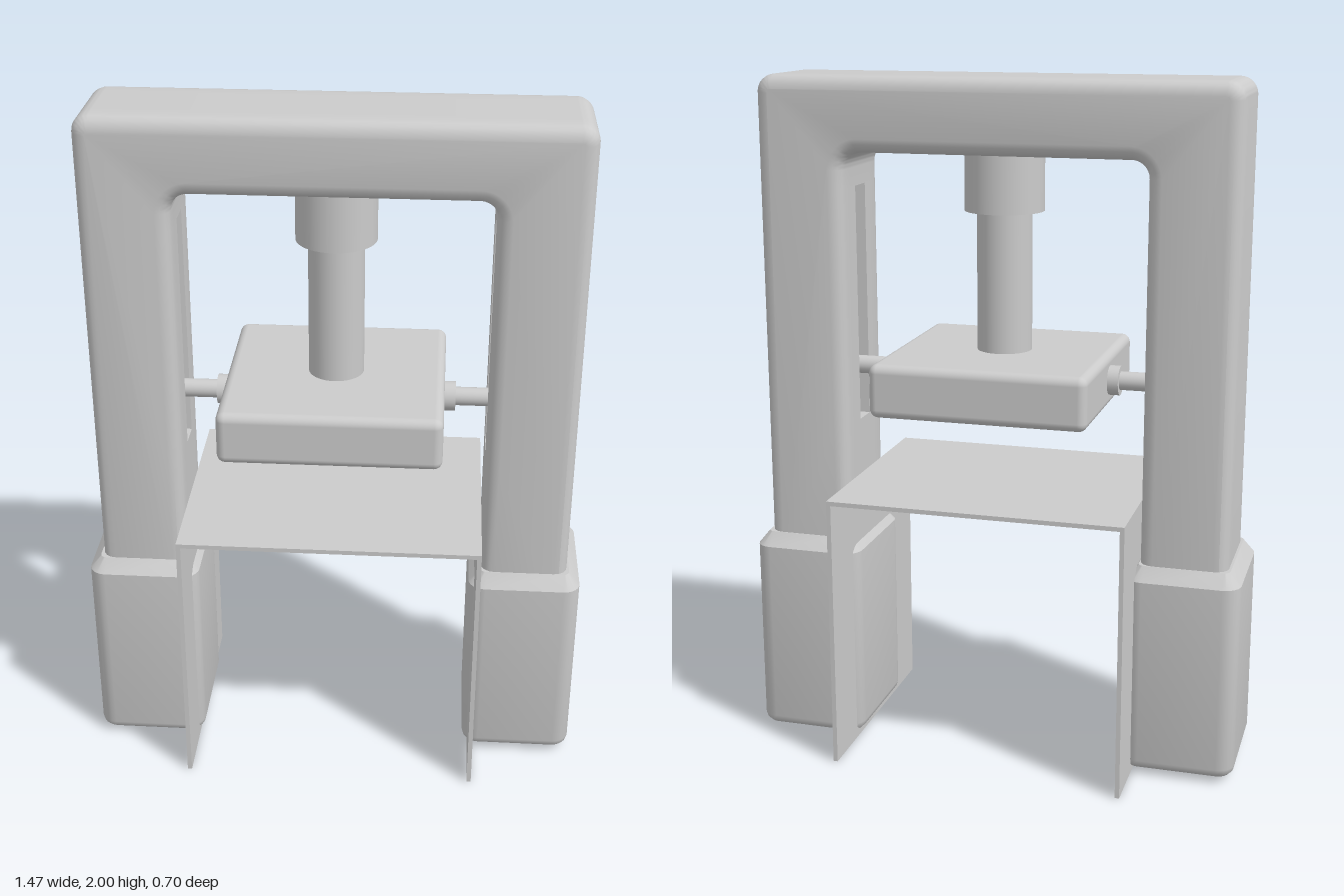
import * as THREE from 'three';
import { toCreasedNormals } from 'three/addons/utils/BufferGeometryUtils.js';
import { RoundedBoxGeometry } from 'three/addons/geometries/RoundedBoxGeometry.js';

const grey = new THREE.MeshStandardMaterial({ color: 0xcccccc });

const SLOT = { x: 0.44, bottom: 0.98, top: 1.68, half: 0.04, depth: 0.06 };

function part(parent, name, geometry, x = 0, y = 0, z = 0) {
  const mesh = new THREE.Mesh(geometry, grey);
  mesh.name = name;
  mesh.position.set(x, y, z);
  parent.add(mesh);
  return mesh;
}

// Arch outline with bevelled edges; the slot mouths are left open in the inner faces.
function archGeometry() {
  const out = 0.695, inn = SLOT.x, top = 2, under = 1.785, r = 0.05, foot = 0.5, bevel = 0.04;
  const s = new THREE.Shape();
  s.moveTo(inn, foot);
  s.lineTo(out, foot);
  s.lineTo(out, top - r);
  s.absarc(out - r, top - r, r, 0, Math.PI / 2);
  s.lineTo(-out + r, top);
  s.absarc(-out + r, top - r, r, Math.PI / 2, Math.PI);
  s.lineTo(-out, foot);
  s.lineTo(-inn, foot);
  s.lineTo(-inn, SLOT.bottom);
  s.lineTo(-inn, SLOT.top);
  s.lineTo(-inn, under - r);
  s.absarc(-inn + r, under - r, r, Math.PI, Math.PI / 2, true);
  s.lineTo(inn - r, under);
  s.absarc(inn - r, under - r, r, Math.PI / 2, 0, true);
  s.lineTo(inn, SLOT.top);
  s.lineTo(inn, SLOT.bottom);
  const g = new THREE.ExtrudeGeometry(s, {
    depth: 0.24, steps: 6, curveSegments: 6,
    bevelThickness: bevel, bevelSize: bevel, bevelOffset: -bevel, bevelSegments: 4,
  });
  g.translate(0, 0, -0.12);
  const p = g.attributes.position, keep = [];
  for (let i = 0; i < p.count; i += 3) {
    const c = [0, 1, 2].map((k) => (p.getComponent(i, k) + p.getComponent(i + 1, k) + p.getComponent(i + 2, k)) / 3);
    const inSlot = Math.abs(Math.abs(c[0]) - inn) < 0.001 && Math.abs(c[2]) < SLOT.half
      && c[1] > SLOT.bottom && c[1] < SLOT.top;
    if (inSlot) continue;
    for (let j = i; j < i + 3; j++) keep.push(p.getX(j), p.getY(j), p.getZ(j));
  }
  const result = new THREE.BufferGeometry();
  result.setAttribute('position', new THREE.Float32BufferAttribute(keep, 3));
  return toCreasedNormals(result, 0.6);
}

// Box turned inside out, so that its walls line a recess.
function recessGeometry() {
  const g = new THREE.BoxGeometry(SLOT.depth, SLOT.top - SLOT.bottom, SLOT.half * 2);
  g.scale(-1, 1, 1);
  g.computeVertexNormals();
  return g;
}

// Rounded rectangle rings stacked upwards: each level is [height, inset].
function bootGeometry(halfX, halfZ, radius, levels) {
  const pos = [], index = [], seg = 6, n = 4 * (seg + 1);
  for (const [y, inset] of levels) {
    const r = Math.max(radius - inset, 0.02);
    for (let q = 0; q < 4; q++) {
      const sx = q === 0 || q === 3 ? 1 : -1, sz = q < 2 ? 1 : -1;
      for (let i = 0; i <= seg; i++) {
        const a = (q + i / seg) * Math.PI / 2;
        pos.push(sx * (halfX - inset - r) + r * Math.cos(a), y, sz * (halfZ - inset - r) + r * Math.sin(a));
      }
    }
  }
  const last = levels.length - 1;
  for (let l = 0; l < last; l++) {
    for (let i = 0; i < n; i++) {
      const a = l * n + i, b = l * n + (i + 1) % n;
      index.push(a, a + n, b, b, a + n, b + n);
    }
  }
  for (let i = 1; i < n - 1; i++) {
    index.push(0, i, i + 1);
    index.push(last * n, last * n + i + 1, last * n + i);
  }
  const g = new THREE.BufferGeometry();
  g.setAttribute('position', new THREE.Float32BufferAttribute(pos, 3));
  g.setIndex(index);
  return toCreasedNormals(g, 0.6);
}

export function createModel() {
  const model = new THREE.Group();
  model.name = 'press';

  // Main arch
  part(model, 'archFrame', archGeometry());

  // Ram hanging from the crossbeam
  part(model, 'ramCollar', new THREE.CylinderGeometry(0.115, 0.115, 0.18, 40), 0, 1.71, 0);
  part(model, 'ramShaft', new THREE.CylinderGeometry(0.08, 0.08, 0.46, 40), 0, 1.42, 0);
  part(model, 'pressPlate', new RoundedBoxGeometry(0.63, 0.155, 0.63, 4, 0.025), 0, 1.1375, 0);

  // Sheet cover between the legs
  const cover = new THREE.Group();
  cover.name = 'coverSheet';
  model.add(cover);
  part(cover, 'coverTop', new THREE.BoxGeometry(0.87, 0.013, 0.7), 0, 0.8085, 0);

  const boot = bootGeometry(0.165, 0.195, 0.05, [
    [0.015, 0.03], [0.019, 0.015], [0.03, 0.004], [0.045, 0], [0.6, 0], [0.64, 0.033],
  ]);
  for (const side of [1, -1]) {
    const label = side > 0 ? 'left' : 'right';
    part(cover, label + 'CoverSide', new THREE.BoxGeometry(0.013, 0.802, 0.7), side * 0.4285, 0.401, 0);
    part(model, label + 'Boot', boot, side * 0.57, 0, 0);

    // Guide slot with its pin
    part(model, label + 'GuideSlot', recessGeometry(),
      side * (SLOT.x + SLOT.depth / 2), (SLOT.top + SLOT.bottom) / 2, 0);
    part(model, label + 'GuidePin', new THREE.CylinderGeometry(0.027, 0.027, 0.2, 24).rotateZ(Math.PI / 2),
      side * 0.4, 1.14, 0);
    part(model, label + 'PinCollar', new THREE.CylinderGeometry(0.043, 0.043, 0.05, 24).rotateZ(Math.PI / 2),
      side * 0.322, 1.14, 0);
  }
  return model;
}
